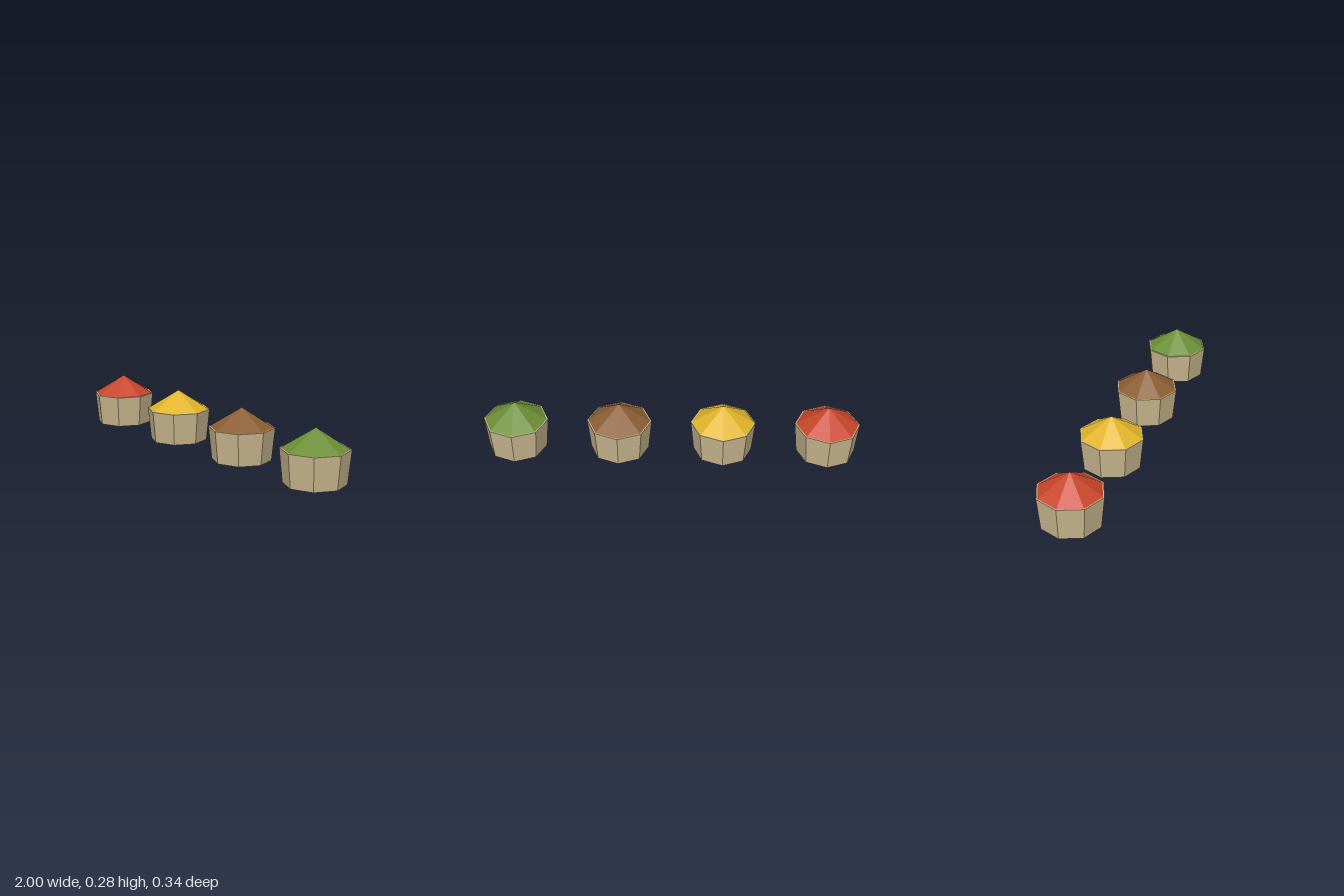
import * as THREE from 'three';

const SIDES = 8;
const SPACING = 0.552;
const POT_HEIGHT = 0.172;
const HEAP_HEIGHT = 0.103;

const material = (color) => new THREE.MeshStandardMaterial({ color, flatShading: true });

function addPart(parent, name, geometry, mat, y) {
  const mesh = new THREE.Mesh(geometry, mat);
  mesh.name = name;
  mesh.position.y = y;
  parent.add(mesh);
}

export function createModel() {
  const model = new THREE.Group();
  model.name = 'spiceRow';

  // Shared shapes: a tapered eight-sided container and a pointed heap
  const potShape = new THREE.CylinderGeometry(0.1724, 0.155, POT_HEIGHT, SIDES);
  const heapShape = new THREE.ConeGeometry(0.165, HEAP_HEIGHT, SIDES);
  const potMaterial = material(0xc8b68e);

  const heaps = [
    ['red', 0xc8452b],
    ['yellow', 0xe0b428],
    ['brown', 0x8b5e34],
    ['green', 0x6b8e35],
  ];

  // One filled container per colour, evenly spaced along x
  heaps.forEach(([label, color], i) => {
    const filled = new THREE.Group();
    filled.name = `${label}Container`;
    filled.position.x = (i - (heaps.length - 1) / 2) * SPACING;
    addPart(filled, 'container', potShape, potMaterial, POT_HEIGHT / 2);
    // The heap's base sits just above the container top
    addPart(filled, `${label}Heap`, heapShape, material(color), POT_HEIGHT + HEAP_HEIGHT / 2 + 0.0005);
    model.add(filled);
  });

  return model;
}
